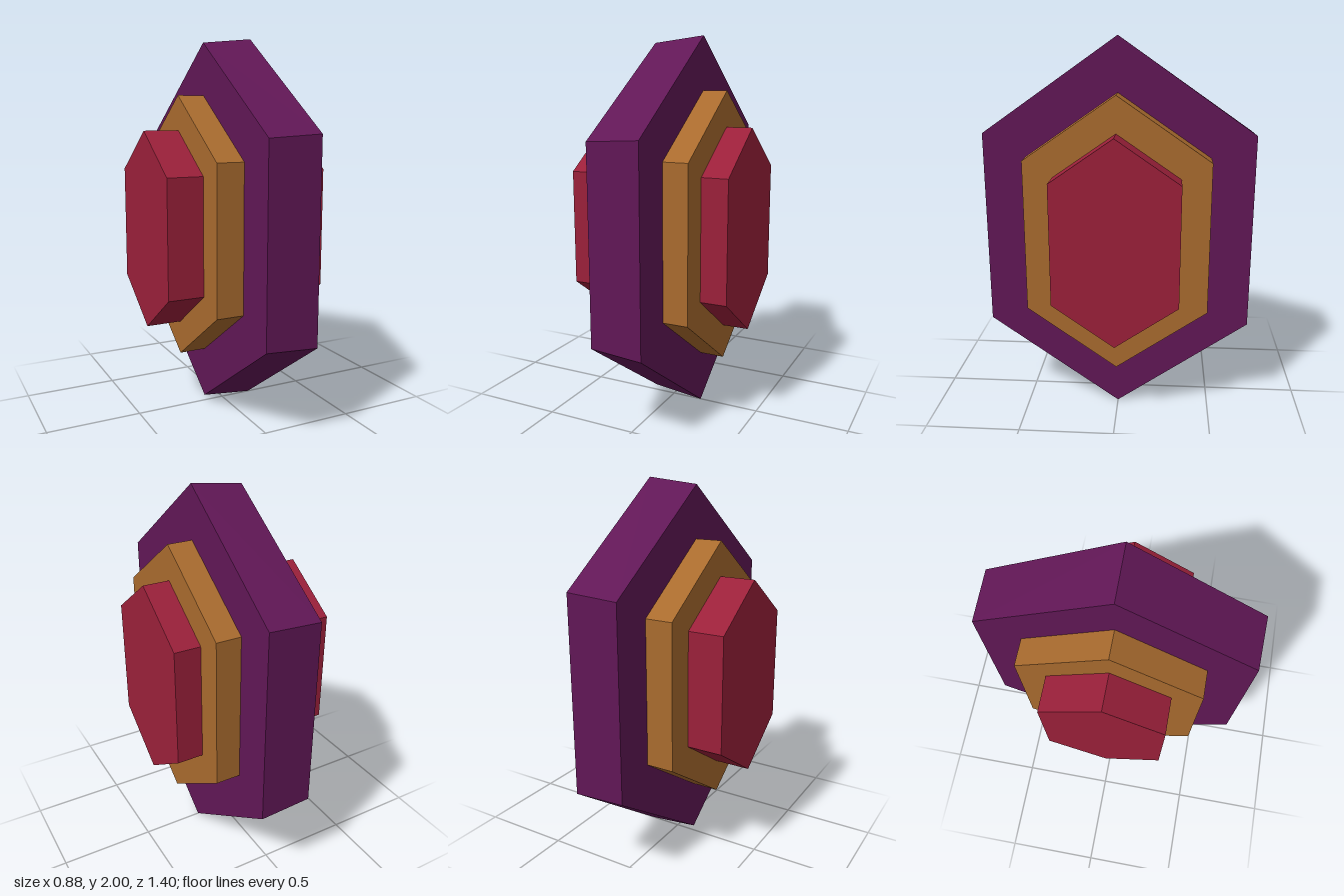
import * as THREE from 'three';

// Hexagonal cross-section at x, counter-clockwise as seen from +x
function hexRing({ x, top, bottom, shoulder, hip, front, back }) {
  return [
    [x, top, 0], [x, shoulder, front], [x, hip, front],
    [x, bottom, 0], [x, hip, back], [x, shoulder, back],
  ];
}

// Closed prism between two hexagonal sections (right is at the smaller x)
function hexPrism(name, color, rightEnd, leftEnd) {
  const a = hexRing(rightEnd), b = hexRing(leftEnd), n = a.length;
  const pos = [];
  const tri = (...pts) => pts.forEach((p) => pos.push(...p));
  for (let i = 0; i < n; i++) {
    const j = (i + 1) % n;
    tri(a[i], a[j], b[j]);
    tri(a[i], b[j], b[i]);
    if (i > 0 && i < n - 1) {
      tri(b[0], b[i], b[j]);
      tri(a[0], a[j], a[i]);
    }
  }
  const geometry = new THREE.BufferGeometry();
  geometry.setAttribute('position', new THREE.Float32BufferAttribute(pos, 3));
  geometry.computeVertexNormals();
  const mesh = new THREE.Mesh(geometry, new THREE.MeshStandardMaterial({ color, flatShading: true }));
  mesh.name = name;
  return mesh;
}

export function createModel() {
  const group = new THREE.Group();
  group.name = 'steppedHexagon';
  const purple = 0x611756, orange = 0xa96b2e, red = 0x9b203a;

  // Section sizes of each tier
  const coreRight = { top: 1.97, bottom: 0.03, shoulder: 1.5, hip: 0.505, front: 0.687, back: -0.7 };
  const coreLeft = { top: 2, bottom: 0, shoulder: 1.515, hip: 0.49, front: 0.697, back: -0.7 };
  const midRight = { top: 1.7, bottom: 0.305, shoulder: 1.38, hip: 0.625, front: 0.46, back: -0.475 };
  const midLeft = { top: 1.725, bottom: 0.28, shoulder: 1.4, hip: 0.61, front: 0.47, back: -0.475 };
  const capRight = { top: 1.52, bottom: 0.485, shoulder: 1.305, hip: 0.7, front: 0.31, back: -0.325 };
  const capLeft = { top: 1.54, bottom: 0.465, shoulder: 1.317, hip: 0.69, front: 0.32, back: -0.325 };

  // Central slab, slightly tapered towards the right
  group.add(hexPrism('centralSlab', purple, { x: -0.11, ...coreRight }, { x: 0.168, ...coreLeft }));

  // Stepped tiers on both sides
  const tiers = [
    ['rightMiddleTier', orange, -0.255, -0.11, midRight],
    ['leftMiddleTier', orange, 0.168, 0.3, midLeft],
    ['rightOuterCap', red, -0.445, -0.255, capRight],
    ['leftOuterCap', red, 0.3, 0.44, capLeft],
  ];
  for (const [name, color, x0, x1, size] of tiers) {
    group.add(hexPrism(name, color, { x: x0, ...size }, { x: x1, ...size }));
  }
  return group;
}
